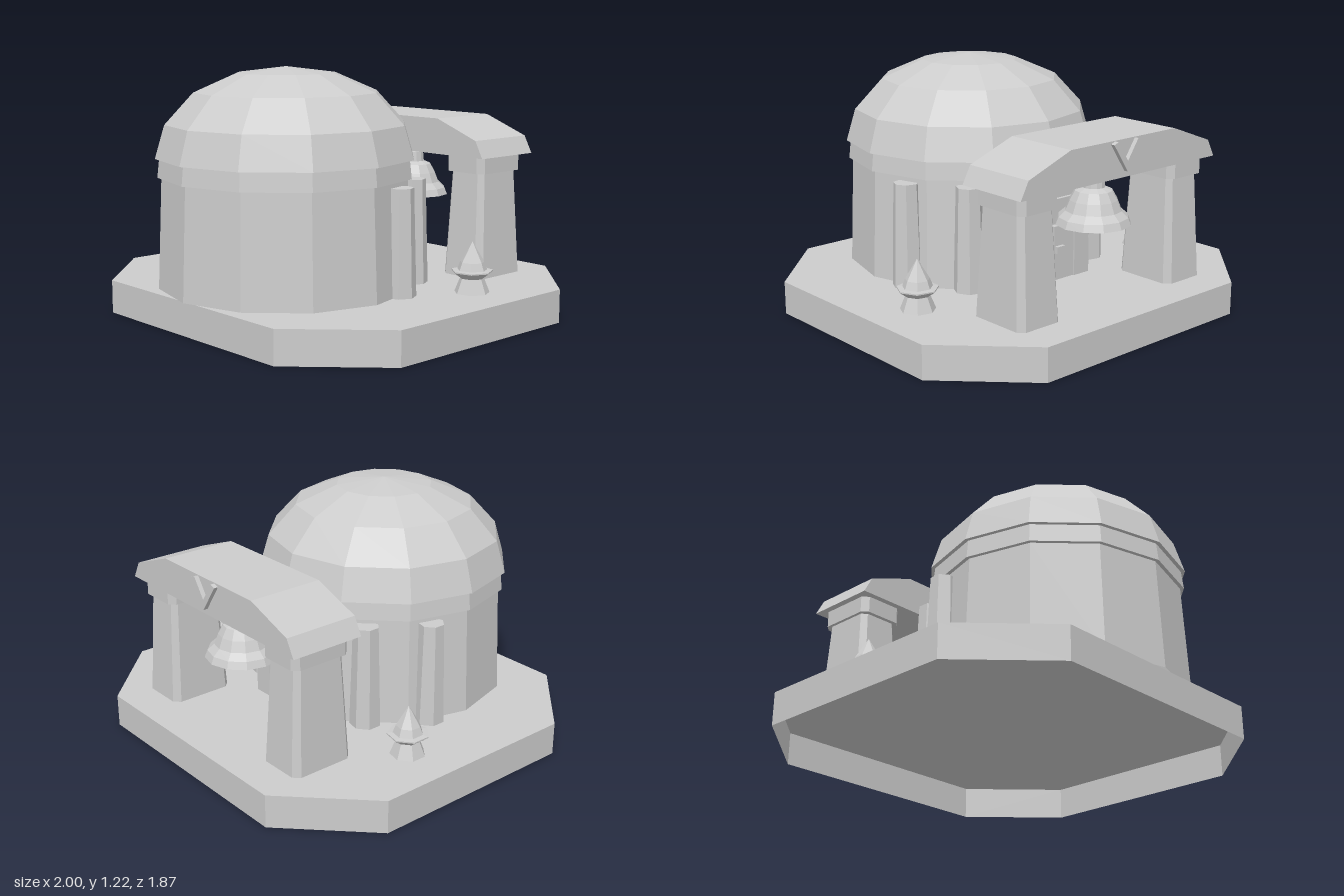
import * as THREE from 'three';

const stone = new THREE.MeshStandardMaterial({
  color: 0xcccccc, flatShading: true, side: THREE.DoubleSide,
});
stone.name = 'pale stone';

const FLOOR = 0.163;

function add(parent, name, geometry, x = 0, y = 0, z = 0) {
  const mesh = new THREE.Mesh(geometry, stone);
  mesh.name = name;
  mesh.position.set(x, y, z);
  parent.add(mesh);
  return mesh;
}

const vectors = (list) => list.map(([x, y]) => new THREE.Vector2(x, y));
const lathe = (list, sides, start = 0) => new THREE.LatheGeometry(vectors(list), sides, start);
const extrude = (list, depth) =>
  new THREE.ExtrudeGeometry(new THREE.Shape(vectors(list)), { depth, bevelEnabled: false });

// Rectangle with cut corners, counter-clockwise
const cutRectangle = (hx, hz, cut) => [
  [-hx + cut, -hz], [hx - cut, -hz], [hx, -hz + cut], [hx, hz - cut],
  [hx - cut, hz], [-hx + cut, hz], [-hx, hz - cut], [-hx, -hz + cut],
];

// Upright block with cut corners; the top is scaled by `taper`
function cutBlock(hx, hz, cut, height, taper = 1) {
  const g = extrude(cutRectangle(hx, hz, cut), height);
  g.rotateX(-Math.PI / 2);
  const p = g.attributes.position;
  for (let i = 0; i < p.count; i++) {
    const s = 1 + (taper - 1) * (p.getY(i) / height);
    p.setX(i, p.getX(i) * s);
    p.setZ(i, p.getZ(i) * s);
  }
  g.computeVertexNormals();
  return g;
}

// Side walls of an outline, without lids
function walls(outline, height) {
  const points = [];
  outline.forEach(([x0, z0], i) => {
    const [x1, z1] = outline[(i + 1) % outline.length];
    points.push(x0, 0, z0, x1, height, z1, x1, 0, z1);
    points.push(x0, 0, z0, x0, height, z0, x1, height, z1);
  });
  const g = new THREE.BufferGeometry();
  g.setAttribute('position', new THREE.Float32BufferAttribute(points, 3));
  g.computeVertexNormals();
  return g;
}

export function createModel() {
  const model = new THREE.Group();
  model.name = 'domedShrine';

  // Octagonal base, hollow underneath
  const outline = cutRectangle(1, 0.923, 0.38);
  add(model, 'platformWalls', walls(outline, FLOOR), 0, 0, -0.011);
  const floor = new THREE.ShapeGeometry(new THREE.Shape(vectors(outline)));
  add(model, 'platformTop', floor.rotateX(-Math.PI / 2), 0, FLOOR, -0.011);

  // Round building with band and dome
  const hall = new THREE.Group();
  hall.name = 'hall';
  hall.position.z = 0.304;
  model.add(hall);
  add(hall, 'drum', lathe([[0.625, FLOOR], [0.603, 0.7]], 12));
  add(hall, 'band', lathe([[0.59, 0.7], [0.622, 0.7], [0.612, 0.79]], 12));
  add(hall, 'dome', lathe([
    [0.59, 0.79], [0.632, 0.79], [0.585, 0.95], [0.447, 1.1], [0.24, 1.19], [0, 1.22],
  ], 12));

  // Columns against the wall
  for (const side of [-1, 1]) {
    for (const [x, z] of [[0.57, 0.1], [0.4, -0.16]]) {
      add(model, 'wallColumn', new THREE.CylinderGeometry(0.063, 0.078, 0.512, 7, 1, false, Math.PI / 2),
        side * x, 0.419, z);
    }
  }

  // Doorway
  const doorway = new THREE.Group();
  doorway.name = 'doorway';
  model.add(doorway);
  add(doorway, 'lintel', new THREE.BoxGeometry(0.48, 0.12, 0.085), 0, 0.555, -0.302);
  for (const side of [-1, 1]) {
    add(doorway, 'jamb', new THREE.BoxGeometry(0.1, 0.332, 0.085), side * 0.175, 0.329, -0.3);
  }
  add(doorway, 'doorPanel', new THREE.BoxGeometry(0.25, 0.332, 0.06), 0, 0.329, -0.295);
  add(doorway, 'lintelPlate', new THREE.BoxGeometry(0.26, 0.06, 0.02), 0, 0.555, -0.352);
  add(doorway, 'doorPlate', new THREE.BoxGeometry(0.2, 0.25, 0.035), 0, 0.3, -0.342);
  add(doorway, 'lockPlate', new THREE.BoxGeometry(0.12, 0.09, 0.03), 0, 0.415, -0.375);
  add(doorway, 'handle', new THREE.BoxGeometry(0.05, 0.035, 0.02), 0, 0.33, -0.368);

  // Bell gate: two pillars and a beam with sloped ends
  const gate = new THREE.Group();
  gate.name = 'bellGate';
  gate.position.z = -0.587;
  model.add(gate);
  for (const side of [-1, 1]) {
    add(gate, 'pillar', cutBlock(0.126, 0.165, 0.03, 0.53, 0.82), side * 0.482, FLOOR, 0);
    add(gate, 'pillarCap', cutBlock(0.12, 0.158, 0.03, 0.085), side * 0.482, 0.687, 0);
  }
  const beam = [
    [-0.635, 0.77], [0.635, 0.77], [0.59, 0.855], [0.34, 0.948], [-0.34, 0.948], [-0.59, 0.855],
  ];
  add(gate, 'beam', extrude(beam, 0.38), 0, 0, -0.19);
  const chevron = [[0, 0.8], [0.092, 0.935], [0.065, 0.945], [0, 0.85], [-0.065, 0.945], [-0.092, 0.935]];
  add(gate, 'chevron', extrude(chevron, 0.025), 0, 0, -0.212);

  // Hanging bell
  add(gate, 'bell', lathe([
    [0, 0.525], [0.165, 0.525], [0.182, 0.515], [0.168, 0.55], [0.135, 0.58],
    [0.115, 0.63], [0.09, 0.675], [0.055, 0.69], [0.05, 0.74], [0, 0.745],
  ], 12));
  add(gate, 'bellHanger', new THREE.CylinderGeometry(0.02, 0.02, 0.04, 8), 0, 0.755, 0);
  add(gate, 'clapper', new THREE.CylinderGeometry(0.03, 0.025, 0.06, 8), 0, 0.495, 0);

  // Small lanterns beside the hall
  const lantern = [
    [0.085, FLOOR], [0.057, 0.233], [0.1, 0.264], [0.1, 0.27], [0.072, 0.273], [0.058, 0.31], [0, 0.408],
  ];
  for (const side of [-1, 1]) {
    add(model, 'lantern', lathe(lantern, 7, Math.PI / 2), side * 0.748, 0, -0.205);
  }

  return model;
}
